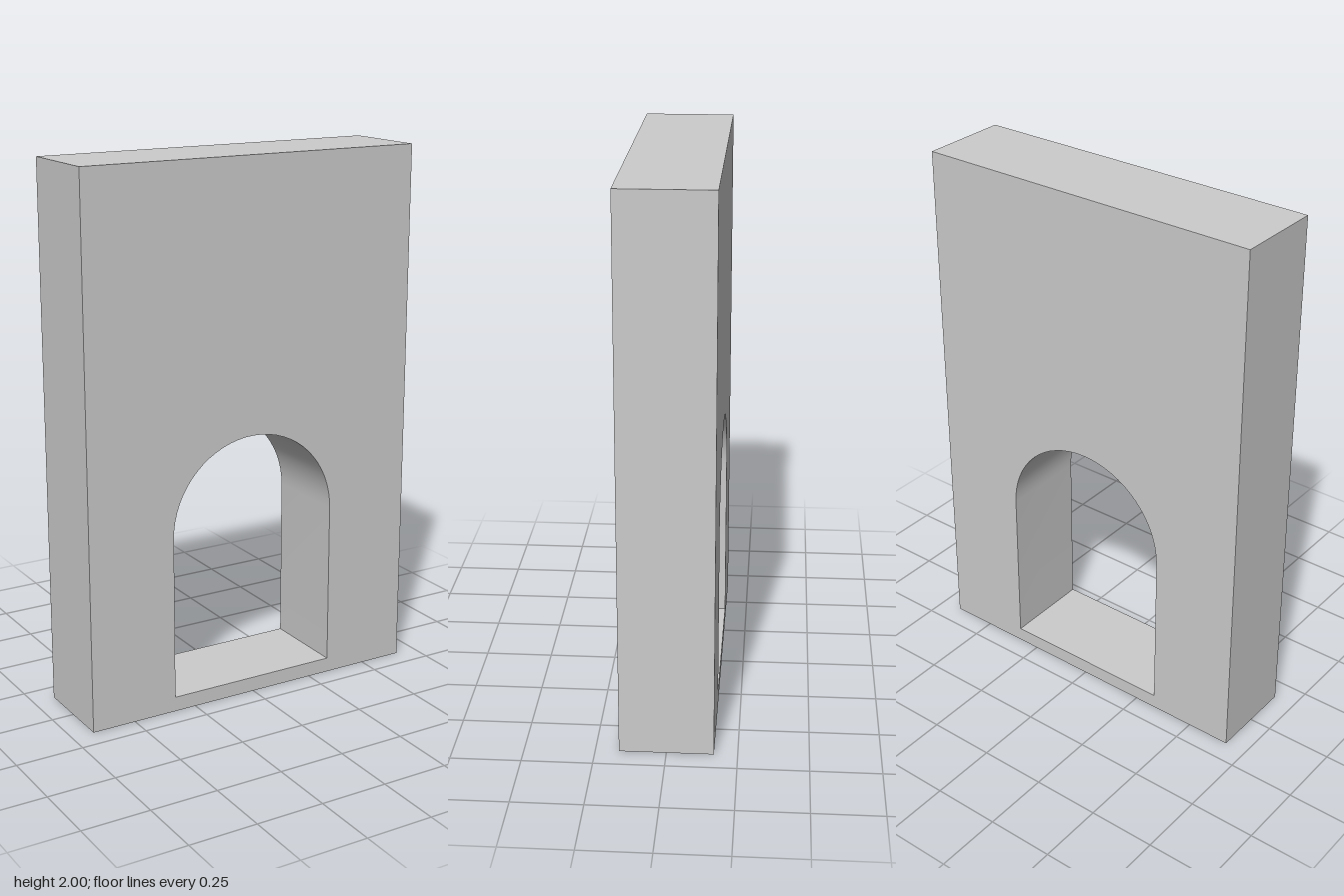
import * as THREE from 'three';
import { toCreasedNormals } from 'three/addons/utils/BufferGeometryUtils.js';

const WIDTH = 4 / 3, HEIGHT = 2, DEPTH = 1 / 3;
const SILL = 0.055;            // height of the threshold under the opening
const RADIUS = 1 / 3;          // arch radius, half the opening's width
const SPRING = 2 / 3;          // height where the arch begins

export function createModel() {
  const group = new THREE.Group();
  group.name = 'archedWall';

  // Rectangular wall outline
  const w = WIDTH / 2;
  const outline = new THREE.Shape();
  outline.moveTo(-w, 0);
  outline.lineTo(w, 0);
  outline.lineTo(w, HEIGHT);
  outline.lineTo(-w, HEIGHT);
  outline.closePath();

  // Round-headed doorway cut through it
  const doorway = new THREE.Path();
  doorway.moveTo(-RADIUS, SILL);
  doorway.lineTo(RADIUS, SILL);
  doorway.lineTo(RADIUS, SPRING);
  doorway.absarc(0, SPRING, RADIUS, 0, Math.PI, false);
  doorway.closePath();
  outline.holes.push(doorway);

  const geometry = new THREE.ExtrudeGeometry(outline, {
    depth: DEPTH, bevelEnabled: false, curveSegments: 16,
  });
  geometry.translate(0, 0, -DEPTH / 2);

  // Smooth arch underside, sharp edges elsewhere
  const wall = new THREE.Mesh(
    toCreasedNormals(geometry, Math.PI / 6),
    new THREE.MeshStandardMaterial({ color: 0xcccccc }),
  );
  wall.name = 'wallWithDoorway';
  group.add(wall);
  return group;
}
